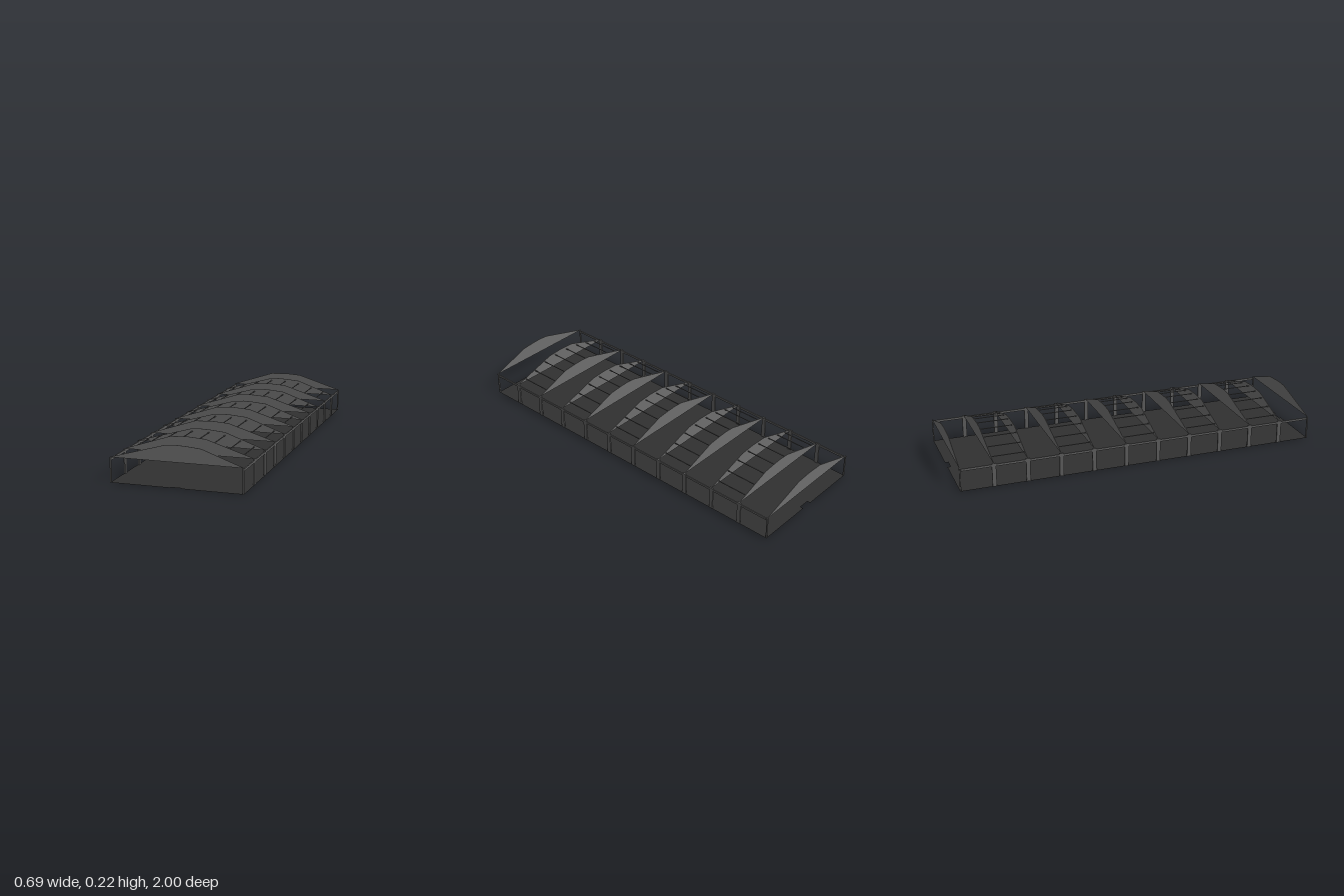
import * as THREE from 'three';

const HALF_W = 0.345, EAVE = 0.13, BAYS = 11, PITCH = 2 / BAYS;

export function createModel() {
  const model = new THREE.Group();
  model.name = 'openHall';
  const floorMat = new THREE.MeshStandardMaterial({ color: 0x303030, side: THREE.DoubleSide });
  floorMat.name = 'dark floor';
  const trussMat = new THREE.MeshStandardMaterial({ color: 0x6e6e6e });
  trussMat.name = 'grey gable steel';
  const steelMat = new THREE.MeshStandardMaterial({ color: 0x5c5c5c });
  steelMat.name = 'dark steel';

  const box = (name, w, h, d, x, y, z, parent = model) => {
    const m = new THREE.Mesh(new THREE.BoxGeometry(w, h, d), steelMat);
    m.name = name;
    m.position.set(x, y, z);
    parent.add(m);
  };

  // Floor slab surface with a small notch in the middle of each end
  const slab = new THREE.Shape([
    [-HALF_W, -1], [-0.03, -1], [-0.03, -0.99], [0.03, -0.99], [0.03, -1], [HALF_W, -1],
    [HALF_W, 1], [0.03, 1], [0.03, 0.982], [-0.03, 0.982], [-0.03, 1], [-HALF_W, 1],
  ].map(([x, y]) => new THREE.Vector2(x, y)));
  const floor = new THREE.Mesh(new THREE.ShapeGeometry(slab), floorMat);
  floor.name = 'floor';
  floor.rotation.x = -Math.PI / 2;
  floor.position.y = 0.001;
  model.add(floor);

  // Two gable outlines, alternating along the hall
  const gable = (crown) => {
    const pts = [[-HALF_W, EAVE], [HALF_W, EAVE], ...crown];
    const shape = new THREE.Shape(pts.map(([x, y]) => new THREE.Vector2(x, y)));
    return new THREE.ExtrudeGeometry(shape, { depth: 0.003, bevelEnabled: false }).translate(0, 0, -0.0015);
  };
  const gables = [
    gable([[0.13, 0.207], [0.05, 0.214], [0, 0.216], [-0.055, 0.212]]),
    gable([[0.09, 0.21], [0, 0.216], [-0.095, 0.212]]),
  ];

  // Portal frames: gable panel on two posts
  for (let i = 0; i <= BAYS; i++) {
    const end = i === 0 || i === BAYS;
    const frame = new THREE.Group();
    frame.name = 'portalFrame';
    frame.position.z = THREE.MathUtils.clamp(1 - i * PITCH, -0.997, 0.997);
    const truss = new THREE.Mesh(gables[i % 2], trussMat);
    truss.name = 'gableTruss';
    frame.add(truss);
    for (const s of [-1, 1]) {
      box('post', 0.008, EAVE, end ? 0.006 : 0.022, s * (HALF_W - 0.004), EAVE / 2, 0, frame);
    }
    model.add(frame);
  }

  // Eave rails in every bay, roof purlins in every second bay
  const purlins = [[0.045, 0.2], [0.13, 0.19], [0.212, 0.168], [0.285, 0.143]];
  for (let i = 0; i < BAYS; i++) {
    const z = 1 - (i + 0.5) * PITCH;
    for (const s of [-1, 1]) {
      box('eaveRail', 0.006, 0.012, PITCH - 0.02, s * (HALF_W - 0.004), 0.119, z);
      if (i % 2 === 1) {
        for (const [x, y] of purlins) box('purlin', 0.004, 0.004, PITCH - 0.004, s * x, y, z);
      }
    }
  }
  return model;
}
